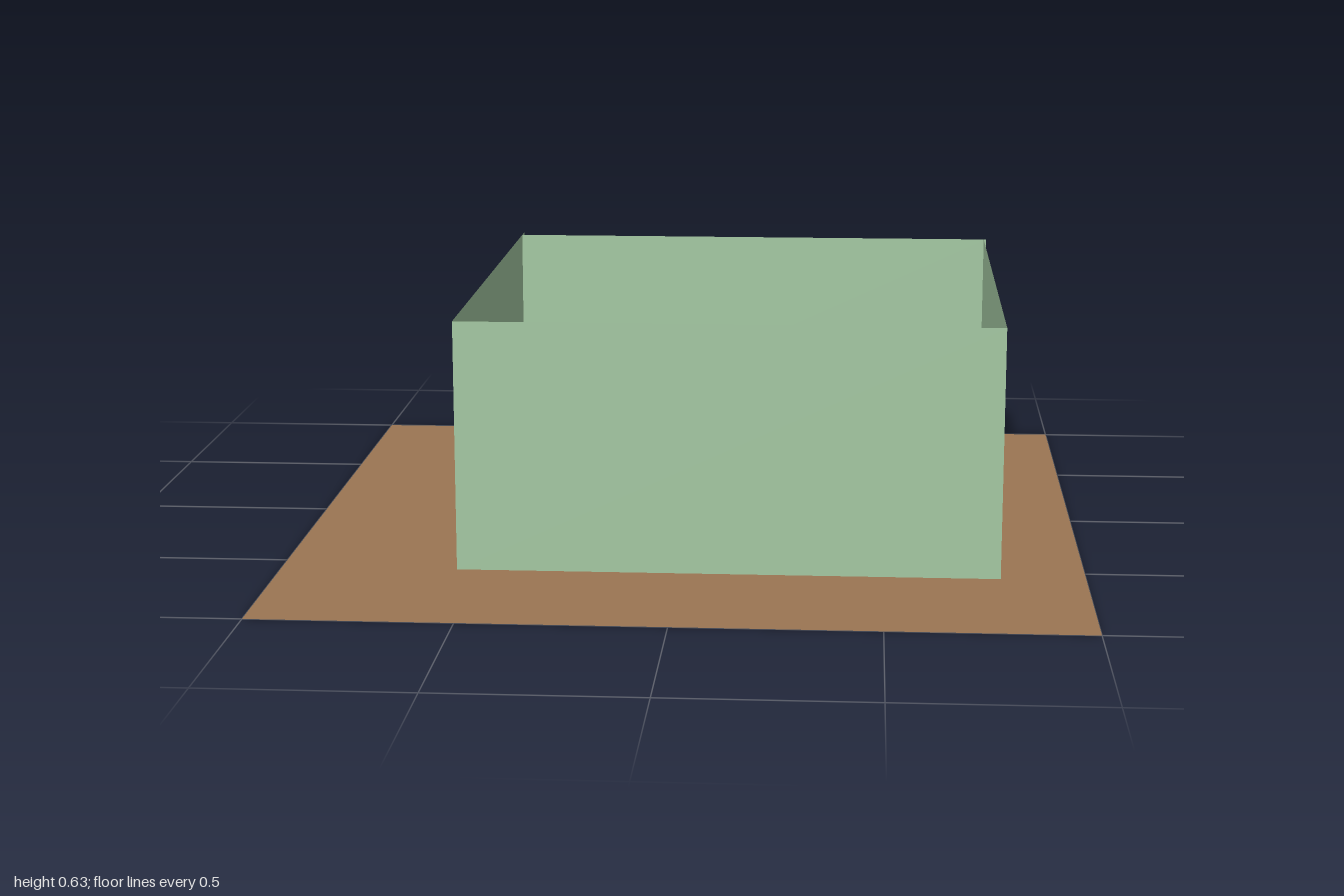
import * as THREE from 'three';

const mat = (name, color, side = THREE.FrontSide) => {
  const m = new THREE.MeshStandardMaterial({ color, side });
  m.name = name;
  return m;
};

export function createModel() {
  const model = new THREE.Group();
  model.name = 'kitchen';
  const floorMat = mat('floorBrown', 0x9b7653, THREE.DoubleSide);
  const wallMat = mat('wallGreen', 0xa5c9a3, THREE.DoubleSide);
  const topMat = mat('worktopPurple', 0x583259);
  const bodyMat = mat('cabinetCream', 0xc8bfb6);
  const panelMat = mat('panelGrey', 0xbab2a8);
  const ringMat = mat('wreathCream', 0xd6cabf);
  const leafMat = mat('leafOlive', 0x6b5a35);

  const add = (parent, name, geo, material, x, y, z) => {
    const m = new THREE.Mesh(geo, material);
    m.name = name;
    m.position.set(x, y, z);
    parent.add(m);
    return m;
  };
  // Box given by its limits on each axis
  const box = (parent, name, material, x0, x1, y0, y1, z0, z1) =>
    add(parent, name, new THREE.BoxGeometry(x1 - x0, y1 - y0, z1 - z0), material,
      (x0 + x1) / 2, (y0 + y1) / 2, (z0 + z1) / 2);

  // Floor sheet
  add(model, 'floor', new THREE.PlaneGeometry(2, 2).rotateX(-Math.PI / 2), floorMat, 0, 0, 0);

  // Four thin walls, each a single sheet
  const H = 0.63;
  const wall = (name, x0, z0, x1, z1) => {
    const w = add(model, name, new THREE.PlaneGeometry(Math.hypot(x1 - x0, z1 - z0), H),
      wallMat, (x0 + x1) / 2, H / 2, (z0 + z1) / 2);
    w.rotation.y = Math.atan2(z0 - z1, x1 - x0);
  };
  wall('frontWall', -0.56, 0.557, 0.79, 0.557);
  wall('backWall', -0.56, -0.79, 0.797, -0.79);
  wall('leftWall', 0.79, 0.557, 0.79, -0.79);
  wall('rightWall', -0.56, 0.557, -0.56, -0.835);

  // Cabinet with a slightly overhanging worktop
  const cabinet = (name, x0, x1, z0, z1, h) => {
    const g = new THREE.Group();
    g.name = name;
    const o = 0.005;
    box(g, 'cabinetBody', bodyMat, x0 + o, x1 - o, 0.001, h - 0.035, z0 + o, z1 - o);
    box(g, 'worktop', topMat, x0, x1, h - 0.035, h, z0, z1);
    model.add(g);
    return g;
  };
  cabinet('rightCounter', -0.555, -0.47, -0.655, 0.26, 0.29);
  cabinet('leftCounter', 0.61, 0.70, -0.655, 0.26, 0.29);
  const front = cabinet('frontCounter', -0.545, 0.55, 0.40, 0.495, 0.295);
  cabinet('table', -0.17, 0.375, -0.315, 0.225, 0.195);

  // Drawers with a door below, on the inner side of the front counter
  for (const x of [0.055, 0.455]) {
    box(front, 'drawer', panelMat, x - 0.065, x + 0.065, 0.19, 0.24, 0.396, 0.405);
    box(front, 'drawerHandle', bodyMat, x - 0.025, x + 0.025, 0.21, 0.22, 0.388, 0.396);
    box(front, 'door', panelMat, x - 0.055, x + 0.055, 0.02, 0.18, 0.396, 0.405);
    box(front, 'doorInset', bodyMat, x - 0.038, x + 0.038, 0.04, 0.16, 0.393, 0.396);
  }

  // Wreath lying on the table: wavy ring with small leaf clusters
  const wreath = new THREE.Group();
  wreath.name = 'wreath';
  wreath.position.set(0.115, 0.208, -0.03);
  model.add(wreath);
  const points = Array.from({ length: 28 }, (_, i) => {
    const a = (i / 28) * Math.PI * 2;
    const r = 0.156 + 0.004 * Math.sin(7 * a);
    return new THREE.Vector3(r * Math.cos(a), 0.003 * Math.sin(5 * a), r * Math.sin(a));
  });
  add(wreath, 'wreathRing',
    new THREE.TubeGeometry(new THREE.CatmullRomCurve3(points, true), 84, 0.012, 6, true),
    ringMat, 0, 0, 0);
  for (const degrees of [0, 38, 101, 166, 231, 305]) {
    const a = THREE.MathUtils.degToRad(degrees);
    for (const s of [-1, 1]) {
      const b = a + s * 0.07;
      const leaf = add(wreath, 'leaf', new THREE.OctahedronGeometry(0.013), leafMat,
        0.158 * Math.cos(b), 0.007, 0.158 * Math.sin(b));
      leaf.scale.set(1.3, 0.9, 0.7);
      leaf.rotation.y = -a + s * 0.6;
    }
  }
  return model;
}
